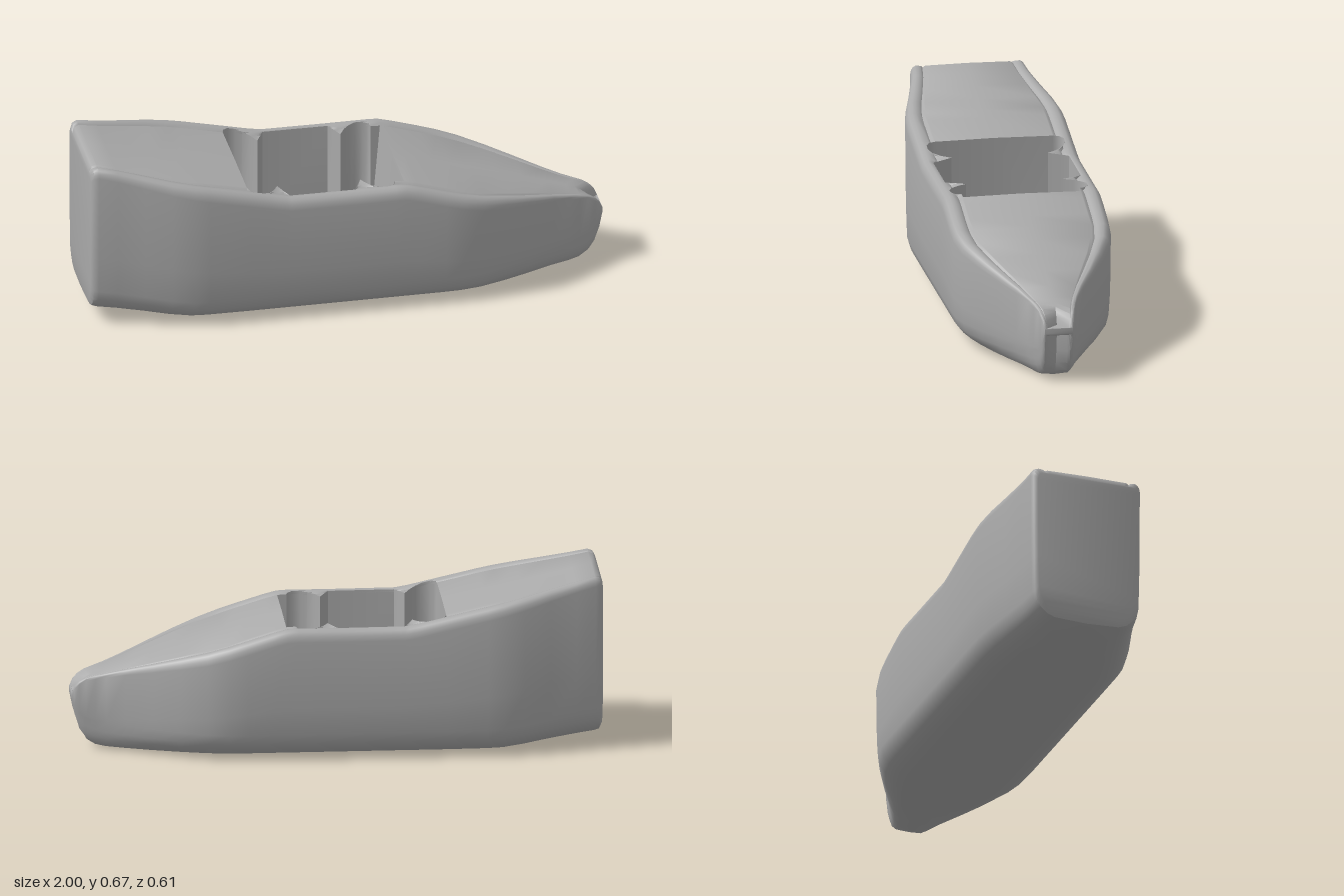
import * as THREE from 'three';
import { toCreasedNormals } from 'three/addons/utils/BufferGeometryUtils.js';

// Hull stations from stern to bow: x, half width, keel height, deck height
const STATIONS = [
  [-1, 0.2, 0.075, 0.65], [-0.99, 0.214, 0.055, 0.668], [-0.972, 0.22, 0.05, 0.674],
  [-0.9, 0.232, 0.041, 0.658], [-0.8, 0.258, 0.028, 0.636], [-0.7, 0.287, 0.014, 0.614],
  [-0.62, 0.302, 0.005, 0.597], [-0.56, 0.305, 0.003, 0.584], [-0.405, 0.305, 0.002, 0.549],
  [-0.3, 0.305, 0.002, 0.525], [-0.25, 0.305, 0.002, 0.516], [-0.2, 0.305, 0.002, 0.514],
  [0.165, 0.305, 0.002, 0.515], [0.2, 0.305, 0.002, 0.513], [0.25, 0.305, 0.002, 0.5],
  [0.35, 0.305, 0.002, 0.469], [0.42, 0.302, 0.002, 0.447], [0.5, 0.285, 0.002, 0.422],
  [0.6, 0.24, 0.002, 0.391], [0.7, 0.186, 0.002, 0.359], [0.8, 0.129, 0.003, 0.327],
  [0.87, 0.096, 0.006, 0.305], [0.91, 0.081, 0.013, 0.294], [0.945, 0.071, 0.032, 0.283],
  [0.97, 0.065, 0.068, 0.268], [0.988, 0.06, 0.12, 0.249], [1, 0.054, 0.19, 0.222],
];
// Half outline of the cockpit opening (x, z), mirrored about its middle
const OPEN_HALF = [
  [-0.405, 0.225], [-0.398, 0.25], [-0.38, 0.262], [-0.35, 0.262], [-0.325, 0.25],
  [-0.3, 0.222], [-0.28, 0.185], [-0.262, 0.225], [-0.245, 0.26],
];
const OPENING = [...OPEN_HALF, ...OPEN_HALF.map(([x, z]) => [-0.24 - x, z]).reverse()];
const FLOOR = 0.1;

function stationAt(x) {
  let i = 0;
  while (i < STATIONS.length - 2 && STATIONS[i + 1][0] < x) i++;
  const a = STATIONS[i], b = STATIONS[i + 1];
  const f = (x - a[0]) / (b[0] - a[0]);
  return a.map((v, k) => v + (b[k] - v) * f);
}

// Closed cross-section; openZ is given only inside the cockpit
function section([x, w, b, t], openZ) {
  const h = t - b;
  const k = Math.min(w / 0.305, h / 0.35);
  const e = Math.min(1, h / 0.28);
  const groove = w - 0.213 * w;
  const inner = openZ ?? groove - 0.015 * k;
  const lip = (z, y) => [Math.max(z, inner), y];
  const half = [
    [0, b], [0.6 * w, b + 0.006 * e], [0.75 * w, b + 0.018 * e], [0.87 * w, b + 0.042 * e],
    [0.94 * w, b + 0.068 * e], [0.975 * w, b + 0.105 * e], [0.99 * w, b + 0.4 * h],
    [w, t - 0.045 * k], [w - 0.004 * k, t - 0.024 * k], [w - 0.014 * k, t - 0.008 * k],
    lip(w - 0.028 * k, t), lip(w - 0.042 * k, t - 0.001 * k),
    lip(groove + 0.009 * k, t - 0.004 * k), lip(groove, t - 0.013 * k),
    lip(groove - 0.01 * k, t - 0.005 * k), [inner, t - 0.003 * k],
    [inner, openZ ? FLOOR : t - 0.003 * k], [0, openZ ? FLOOR : t],
  ];
  const ring = [...half, ...half.slice(1, -1).reverse().map(([z, y]) => [-z, y])];
  // The stem is pulled back into a notch along the centre line
  const pull = 0.045 * THREE.MathUtils.smoothstep(x, 0.88, 1);
  return ring.map(([z, y]) => new THREE.Vector3(x - pull * Math.max(0, 1 - Math.abs(z) / 0.05), y, z));
}

function hullGeometry() {
  const first = OPENING[0][0], last = OPENING[OPENING.length - 1][0];
  // Doubled sections at both ends of the opening form its bulkheads
  const rings = [
    ...STATIONS.filter(s => s[0] <= first).map(s => section(s)),
    ...OPENING.map(([x, z]) => section(stationAt(x), z)),
    ...STATIONS.filter(s => s[0] >= last).map(s => section(s)),
  ];
  const pos = [];
  const tri = (a, b, c) => {
    const area = b.clone().sub(a).cross(c.clone().sub(a)).length();
    if (area > 1e-9) for (const p of [a, b, c]) pos.push(p.x, p.y, p.z);
  };
  const n = rings[0].length;
  for (let i = 0; i < rings.length - 1; i++) {
    for (let j = 0; j < n; j++) {
      const m = (j + 1) % n;
      const a = rings[i][j], b = rings[i][m], c = rings[i + 1][m], d = rings[i + 1][j];
      tri(a, d, c);
      tri(a, c, b);
    }
  }
  // Transom and stem caps, closed in strips from side to side
  const top = n / 2;
  const cap = (ring, flip) => {
    for (let j = 0; j < top; j++) {
      const a = ring[j], b = ring[j + 1], c = ring[(n - j - 1) % n], d = ring[(n - j) % n];
      if (flip) { tri(a, c, b); tri(a, d, c); } else { tri(a, b, c); tri(a, c, d); }
    }
  };
  cap(rings[0], false);
  cap(rings[rings.length - 1], true);
  const g = new THREE.BufferGeometry();
  g.setAttribute('position', new THREE.Float32BufferAttribute(pos, 3));
  return toCreasedNormals(g, 0.75);
}

export function createModel() {
  const group = new THREE.Group();
  group.name = 'boat';
  const grey = new THREE.MeshStandardMaterial({ color: 0xaaaaaa });
  grey.name = 'hullGrey';
  const hull = new THREE.Mesh(hullGeometry(), grey);
  hull.name = 'hullWithDeckAndCockpit';
  group.add(hull);
  return group;
}
